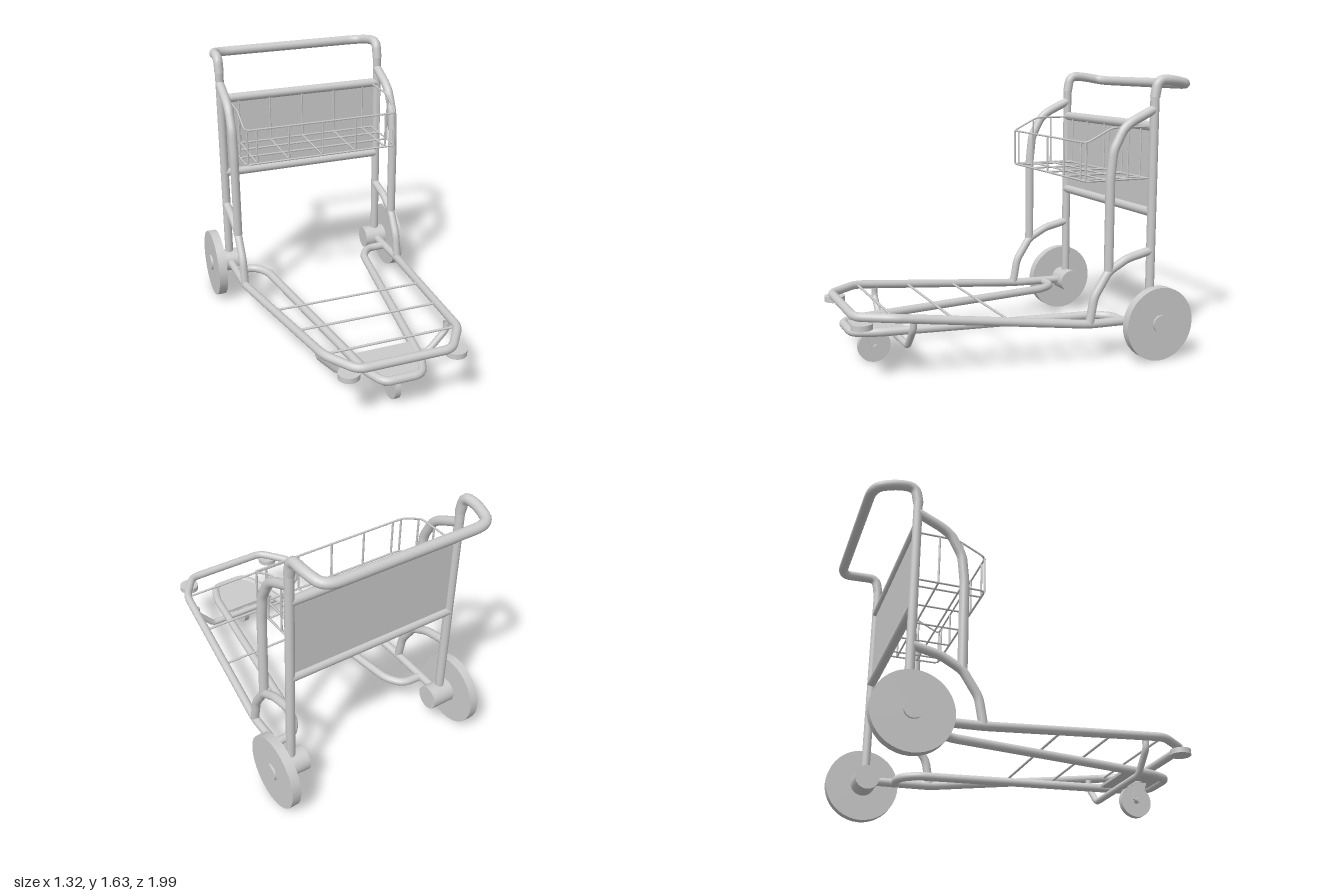
import * as THREE from 'three';

const steel = new THREE.MeshStandardMaterial({ color: 0xcccccc, side: THREE.DoubleSide });
const vec = (p) => new THREE.Vector3(...p);
const flipX = ([x, y, z]) => [-x, y, z];
// A half path on the +x side, continued to the -x side
const mirrored = (pts) => [...pts, ...pts.map(flipX).reverse()];

function add(parent, name, geometry, position = [0, 0, 0]) {
  const mesh = new THREE.Mesh(geometry, steel);
  mesh.name = name;
  mesh.position.set(...position);
  parent.add(mesh);
  return mesh;
}

// Bent tube along a polyline with rounded corners
function tube(parent, name, points, radius, bend = 0.05, sides = 14) {
  const pts = points.map(vec);
  const path = new THREE.CurvePath();
  let from = pts[0];
  for (let i = 1; i < pts.length - 1; i++) {
    const towards = (q) => {
      const d = q.clone().sub(pts[i]);
      return pts[i].clone().addScaledVector(d.clone().normalize(), Math.min(bend, d.length() * 0.45));
    };
    const a = towards(pts[i - 1]), b = towards(pts[i + 1]);
    path.add(new THREE.LineCurve3(from, a));
    path.add(new THREE.QuadraticBezierCurve3(a, pts[i], b));
    from = b;
  }
  path.add(new THREE.LineCurve3(from, pts[pts.length - 1]));
  const steps = pts.length === 2 ? 1 : Math.ceil(path.getLength() / 0.02);
  return add(parent, name, new THREE.TubeGeometry(path, steps, radius, sides, false));
}

// Cylinder lying along x
function disc(parent, name, radius, width, position) {
  const geo = new THREE.CylinderGeometry(radius, radius, width, 40).rotateZ(Math.PI / 2);
  return add(parent, name, geo, position);
}

function buildBasket() {
  const basket = new THREE.Group();
  basket.name = 'basket';
  const r = 0.006, w = 0.485, back = -0.7, front = -0.31, low = 1.04, high = 1.335;
  const wire = (name, pts, bend = 0.03) => tube(basket, name, pts, r, bend, 6);
  // Rims
  wire('topRim', mirrored([[w, high, -0.72], [w, high, -0.47], [w, 1.255, front]]));
  wire('bottomRim', mirrored([[w, low, -0.72], [w, low, front]]));
  wire('backRail', [[-w, high, back], [w, high, back]]);
  // Floor wires across
  for (const z of [-0.445, -0.575, back]) wire('floorCrossWire', [[-w, low, z], [w, low, z]]);
  // Ribs running down the back, along the floor and up the front
  for (const x of [-0.415, -0.215, 0, 0.215, 0.415]) {
    wire('rib', [[x, high, back], [x, low, back], [x, low, front], [x, 1.255, front]], 0.01);
  }
  // Side wires
  for (const x of [-w, w]) {
    wire('sideWire', [[x, low, -0.575], [x, high, -0.575]]);
    wire('sideWire', [[x, low, -0.445], [x, 1.32, -0.445]]);
    wire('frontCornerWire', [[x * 0.975, low, front], [x * 0.975, 1.255, front]]);
  }
  return basket;
}

function buildCaster() {
  const caster = new THREE.Group();
  caster.name = 'caster';
  disc(caster, 'casterWheel', 0.095, 0.034, [0, 0.095, 0.79]);
  disc(caster, 'casterAxle', 0.016, 0.11, [0, 0.095, 0.79]);
  // Slanted fork cheeks, in the y-z plane
  const cheek = new THREE.Shape([[0.85, 0.2], [0.77, 0.2], [0.765, 0.1], [0.79, 0.075], [0.815, 0.09]]
    .map(([z, y]) => new THREE.Vector2(-z, y)));
  for (const x of [-0.034, 0.034]) {
    const geo = new THREE.ExtrudeGeometry(cheek, { depth: 0.012, bevelEnabled: false });
    geo.translate(0, 0, -0.006).rotateY(Math.PI / 2);
    add(caster, 'forkCheek', geo, [x, 0, 0]);
  }
  add(caster, 'forkCrown', new THREE.BoxGeometry(0.08, 0.014, 0.08), [0, 0.197, 0.81]);
  add(caster, 'swivel', new THREE.CylinderGeometry(0.03, 0.03, 0.04, 20), [0, 0.205, 0.81]);
  return caster;
}

export function createModel() {
  const cart = new THREE.Group();
  cart.name = 'luggageCart';
  const X = 0.525, Z = -0.717;

  // Push handle
  tube(cart, 'handle', mirrored([
    [X, 1.5, Z], [X, 1.6, -0.735], [X, 1.595, -0.84], [0.49, 1.57, -0.967],
  ]), 0.029, 0.1, 16);

  // Outer load frame, running from hub to hub around the front
  tube(cart, 'outerFrame', mirrored([
    [X, 0.22, Z], [X, 0.23, -0.32], [0.395, 0.36, 0.79], [0.27, 0.355, 0.968],
  ]), 0.025);

  // Inner lower frame
  tube(cart, 'innerFrame', mirrored([
    [X, 0.22, -0.545], [0.4, 0.22, -0.54], [0.335, 0.22, -0.45], [0.165, 0.22, 0.81], [0.11, 0.22, 0.945],
  ]), 0.025);

  // Dropped cross brace under the front
  tube(cart, 'frontBrace', mirrored([[0.385, 0.33, 0.675], [0.385, 0.28, 0.675], [0.275, 0.16, 0.675]]), 0.019, 0.02);

  // Deck rods
  for (const [z, x] of [[0.135, 0.465], [0.45, 0.43], [0.78, 0.39]]) {
    const y = 0.23 + (z + 0.32) * 0.117;
    tube(cart, 'deckRod', [[-x, y, z], [x, y, z]], 0.007, 0, 8);
  }

  // Front plate carrying the caster
  const plate = new THREE.Shape([[-0.185, 0.65], [0.185, 0.65], [0.163, 0.81], [0.11, 0.925], [-0.11, 0.925], [-0.163, 0.81]]
    .map(([x, z]) => new THREE.Vector2(x, z)));
  const plateGeo = new THREE.ExtrudeGeometry(plate, { depth: 0.016, bevelEnabled: false }).rotateX(Math.PI / 2);
  add(cart, 'casterPlate', plateGeo, [0, 0.232, 0]);

  // Back panel and its rails
  add(cart, 'backPanel', new THREE.BoxGeometry(2 * X - 0.04, 0.49, 0.012), [0, 1.095, Z]);
  for (const y of [0.848, 1.338]) tube(cart, 'panelRail', [[-X, y, Z], [X, y, Z]], 0.027);

  // Paired side parts
  for (const s of [-1, 1]) {
    const side = new THREE.Group();
    side.name = s > 0 ? 'leftSide' : 'rightSide';
    const x = s * X;
    tube(side, 'upright', [[x, 0.22, Z], [x, 1.52, Z]], 0.026);
    tube(side, 'upperArch', [
      [x, 1.435, Z], [x, 1.37, -0.575], [x, 1.33, -0.52], [x, 1.21, -0.457], [x, 1.05, -0.44], [x, 0.53, -0.44],
    ], 0.027, 0.03);
    tube(side, 'lowerArch', [
      [x, 0.625, Z], [x, 0.59, -0.56], [x, 0.525, -0.44], [x, 0.385, -0.35], [x, 0.23, -0.322],
    ], 0.025, 0.03);
    disc(side, 'wheel', 0.215, 0.054, [s * 0.62, 0.215, Z]);
    disc(side, 'hubCap', 0.05, 0.08, [s * 0.62, 0.22, Z]);
    disc(side, 'axleHousing', 0.072, 0.145, [s * 0.512, 0.218, Z]);
    disc(side, 'axle', 0.03, 0.1, [s * 0.58, 0.218, Z]);
    // Corner bumper under the front bend
    add(side, 'bumper', new THREE.CylinderGeometry(0.06, 0.06, 0.032, 28), [s * 0.31, 0.312, 0.938]);
    cart.add(side);
  }

  cart.add(buildBasket(), buildCaster());
  return cart;
}
